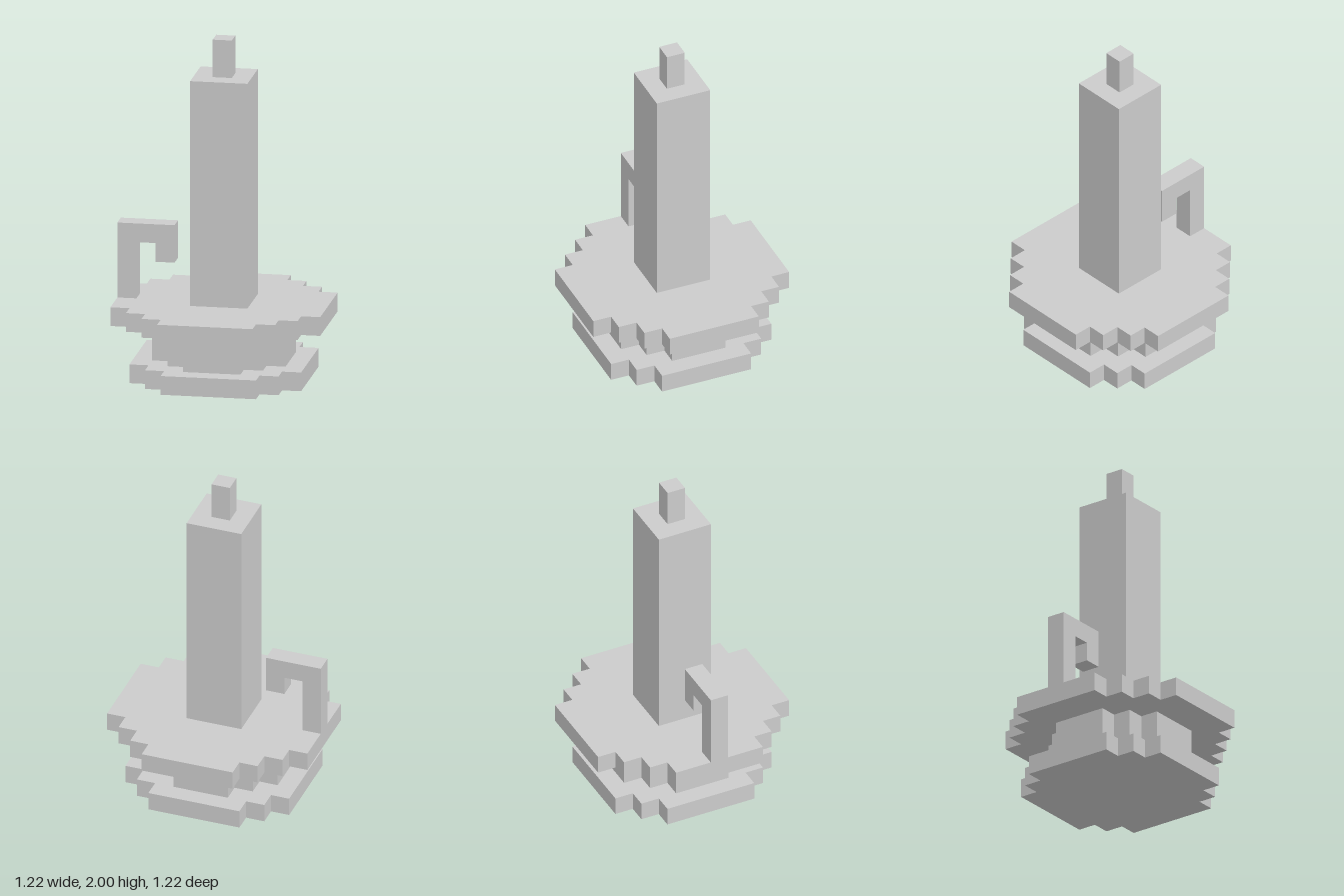
import * as THREE from 'three';

const U = 1 / 9; // one block
const material = new THREE.MeshStandardMaterial({ color: 0xcccccc, flatShading: true });

// Extrudes an outline given in blocks, from z0 to z0 + depth
function extrude(points, depth) {
  const shape = new THREE.Shape(points.map(([x, y]) => new THREE.Vector2(x * U, y * U)));
  return new THREE.ExtrudeGeometry(shape, { depth: depth * U, bevelEnabled: false });
}

// Round disc with stair-stepped corners: outer is the half width, flat the half length of the straight edges
function steppedDisc(name, outer, flat, y0, y1) {
  const corner = [];
  for (let x = outer, y = flat; y <= outer; x--, y++) {
    corner.push([x, y]);
    if (y < outer) corner.push([x - 1, y]);
  }
  const outline = [];
  for (let q = 0, c = 1, s = 0; q < 4; q++, [c, s] = [-s, c]) {
    for (const [x, y] of corner) outline.push([x * c - y * s, x * s + y * c]);
  }
  const geometry = extrude(outline, y1 - y0).rotateX(-Math.PI / 2).translate(0, y0 * U, 0);
  return named(name, geometry);
}

// Square upright block centred on the axis
function post(name, width, y0, y1) {
  const geometry = new THREE.BoxGeometry(width * U, (y1 - y0) * U, width * U);
  return named(name, geometry.translate(0, ((y0 + y1) / 2) * U, 0));
}

function named(name, geometry) {
  const mesh = new THREE.Mesh(geometry, material);
  mesh.name = name;
  return mesh;
}

export function createModel() {
  const group = new THREE.Group();
  group.name = 'candleHolder';

  // Holder: foot, neck and drip plate
  group.add(
    steppedDisc('foot', 4.5, 2.5, 0, 1),
    steppedDisc('neck', 3.5, 1.5, 1, 3),
    steppedDisc('dripPlate', 5.5, 2.5, 3, 4),
  );

  // Candle and wick
  group.add(post('candle', 3, 4, 16), post('wick', 1, 16, 18));

  // Hooked finger handle on the plate's rim
  const hook = [
    [-5.5, 4], [-4.5, 4], [-4.5, 7], [-3.5, 7],
    [-3.5, 6], [-2.5, 6], [-2.5, 8], [-5.5, 8],
  ];
  group.add(named('handle', extrude(hook, 1).translate(0, 0, -U / 2)));

  return group;
}
